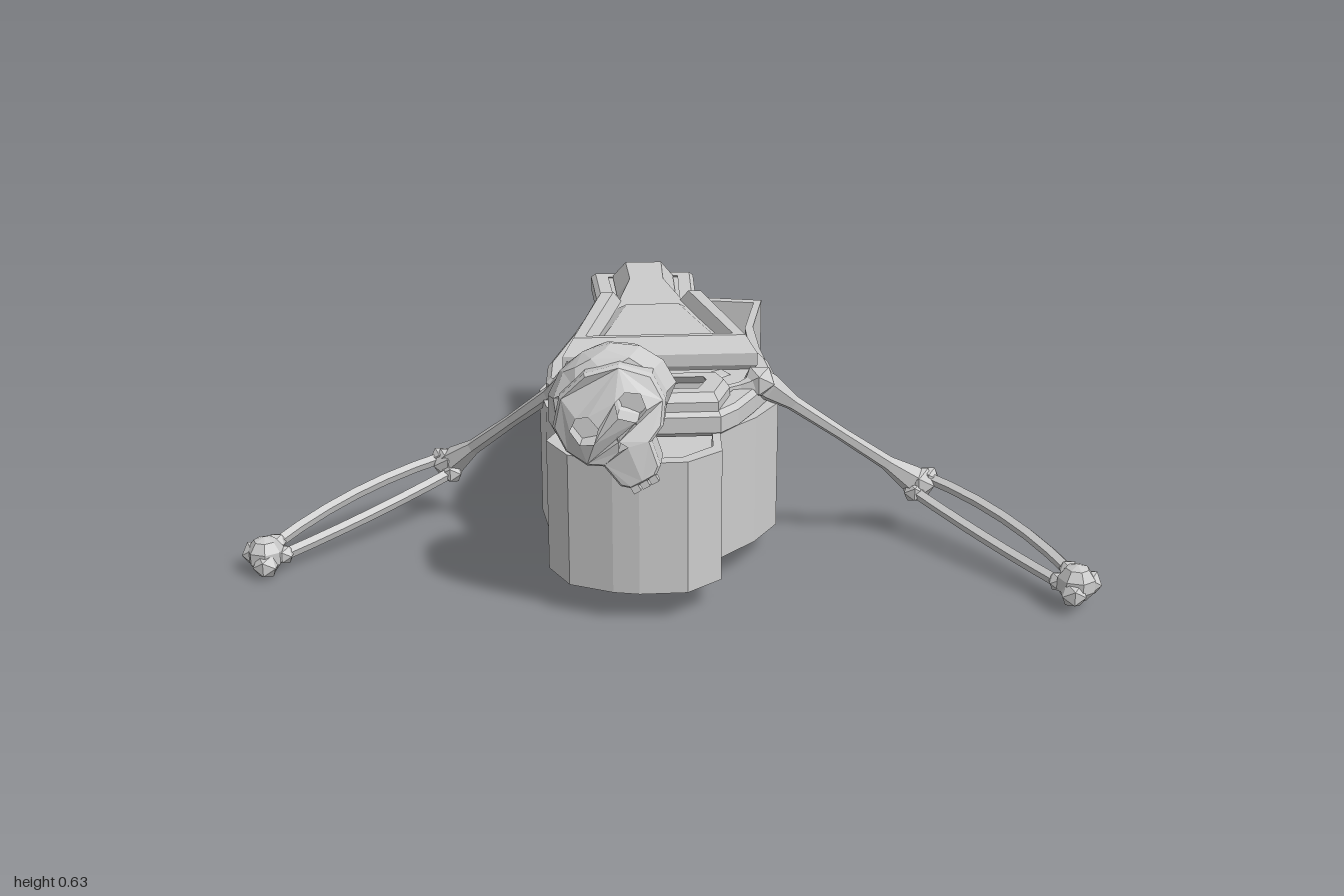
import * as THREE from 'three';

const mat = new THREE.MeshStandardMaterial({ color: 0xcccccc, flatShading: true, side: THREE.DoubleSide });
const V = (a) => new THREE.Vector3(...a);

function add(parent, name, geometry) {
  const mesh = new THREE.Mesh(geometry, mat);
  mesh.name = name;
  parent.add(mesh);
  return mesh;
}

// Mirrors a half outline of [x, z] points into a closed plan outline
const flip = (pts) => pts.map(([x, z]) => [-x, z]).reverse();
const mirrored = (half) => [...half, ...flip(half)];
const plan = (pts) => pts.map(([x, z]) => new THREE.Vector2(x, -z));

// Flat slab seen from above, from y0 to y1, with chamfered edges and optional holes
function slab(pts, y0, y1, chamfer = 0, rise = chamfer, holes = []) {
  const shape = new THREE.Shape(plan(pts));
  holes.forEach((h) => shape.holes.push(new THREE.Path(plan(h))));
  const g = new THREE.ExtrudeGeometry(shape, {
    depth: y1 - y0 - 2 * rise, bevelEnabled: chamfer > 0, bevelSegments: 1,
    bevelSize: chamfer, bevelOffset: -chamfer, bevelThickness: rise,
  });
  return g.rotateX(-Math.PI / 2).translate(0, y0 + rise, 0);
}

// Bone with swollen ends between two points
function bone(parent, name, a, b, r, swell = 1.8) {
  const dir = V(b).sub(V(a)), len = dir.length();
  const profile = [[0, -0.02], [swell * r, 0], [swell * r, 0.05], [r, 0.2], [r * 0.85, 0.5], [r, 0.8],
    [swell * r, 0.95], [swell * r, 1], [0, 1.02]].map(([x, t]) => new THREE.Vector2(x, t * len));
  const m = add(parent, name, new THREE.LatheGeometry(profile, 6));
  m.position.set(...a);
  m.quaternion.setFromUnitVectors(new THREE.Vector3(0, 1, 0), dir.normalize());
}

function knob(parent, name, p, r) {
  add(parent, name, new THREE.IcosahedronGeometry(r, 0)).position.set(...p);
}

function buildCoffin() {
  const g = new THREE.Group();
  g.name = 'coffin';
  const half = [[0.157, -0.625], [0.162, -0.38], [0.2, -0.2], [0.275, 0.07], [0.29, 0.2], [0.25, 0.31],
    [0.18, 0.42], [0.2, 0.53], [0.135, 0.61], [0.03, 0.635]];
  const inner = half.map(([x, z]) => [x * 0.88, z * 0.955]);
  add(g, 'coffinWalls', slab(mirrored(half), 0.085, 0.4, 0, 0, [mirrored(inner)]));
  add(g, 'coffinFloor', slab(mirrored(half.map(([x, z]) => [x * 0.99, z * 0.99])), 0.086, 0.13));
  g.rotation.y = -0.1;
  g.position.x = -0.008;
  return g;
}

function buildLid() {
  const g = new THREE.Group();
  g.name = 'lid';
  const half = [[0.145, -0.7], [0.135, -0.46], [0.2, -0.18], [0.27, 0.08], [0.275, 0.2],
    [0.21, 0.33], [0.165, 0.41], [0.12, 0.46]];
  const inner = half.map(([x, z]) => [x - 0.035, z * 0.95]);
  const opening = mirrored([[0.1, 0.315], [0.11, 0.35], [0.082, 0.42]]);
  add(g, 'lidRim', slab(mirrored(half), 0.39, 0.452, 0.012, 0.012, [mirrored(inner)]));
  add(g, 'lidPlate', slab(mirrored(half.map(([x, z]) => [x - 0.02, z * 0.98])), 0.42, 0.447, 0, 0, [opening]));

  // Raised legs and body
  const body = [[0.085, -0.665], [0.08, -0.47], [0.12, -0.25], [0.19, 0.06], [0.2, 0.14]];
  add(g, 'lidBody', slab(mirrored(body), 0.4, 0.5, 0.035, 0.05));
  // Arms joined across the chest, around a slightly lower torso
  const arms = [[0.07, -0.265], [0.15, -0.265], [0.235, 0.16]];
  add(g, 'lidArms', slab([...arms, ...flip(arms), [-0.15, 0.1], [0.15, 0.1]], 0.42, 0.53, 0.025, 0.04));
  add(g, 'lidChest', slab(mirrored([[0.09, -0.2], [0.14, 0], [0.17, 0.13]]), 0.45, 0.518, 0.03, 0.02));
  // Collar and broken head frame
  add(g, 'lidCollar', slab([[-0.17, 0.19], [0.17, 0.19], [0.09, 0.265], [0, 0.29], [-0.09, 0.265]], 0.42, 0.465, 0.02));
  add(g, 'headFrame', slab(mirrored([[0.13, 0.285], [0.15, 0.35], [0.115, 0.45]]), 0.42, 0.492, 0.014, 0.02, [opening]));
  g.rotation.y = 0.123;
  g.position.x = -0.044;
  return g;
}

function buildSkull() {
  const g = new THREE.Group();
  g.name = 'skull';
  // Cranium, flattened behind the face and narrowed below
  const cranium = new THREE.SphereGeometry(1, 10, 7);
  const p = cranium.attributes.position;
  for (let i = 0; i < p.count; i++) {
    let x = p.getX(i) * 0.15, y = p.getY(i) * 0.13, z = p.getZ(i) * 0.135;
    if (y < 0.1) z = Math.min(z, y > 0.05 ? 0.085 : 0.05);
    if (y < -0.04) { x *= 0.82; y *= 0.85; }
    p.setXYZ(i, x, y, z);
  }
  add(g, 'cranium', cranium);

  // Face with eye sockets and nose opening, curved back at the sides
  const outline = [[0, 0.105], [0.075, 0.085], [0.125, 0.03], [0.125, -0.03], [0.095, -0.075],
    [0.06, -0.09], [0.05, -0.145], [0.03, -0.16], [0, -0.16]];
  const vec = (pts) => pts.map(([x, y]) => new THREE.Vector2(x, y));
  const face = new THREE.Shape(vec([...outline, ...flip(outline.slice(1, -1))]));
  const eye = [[0.018, -0.01], [0.028, 0.028], [0.062, 0.037], [0.094, 0.014], [0.088, -0.03], [0.05, -0.042]];
  face.holes.push(new THREE.Path(vec(eye)), new THREE.Path(vec(flip(eye))));
  face.holes.push(new THREE.Path(vec([[0, -0.045], [0.018, -0.078], [-0.018, -0.078]])));
  const fg = new THREE.ExtrudeGeometry(face, {
    depth: 0.075, bevelEnabled: true, bevelSegments: 1, bevelSize: 0.006, bevelThickness: 0.008, bevelOffset: -0.006,
  });
  const q = fg.attributes.position;
  for (let i = 0; i < q.count; i++) {
    const x = q.getX(i), y = q.getY(i);
    q.setZ(i, q.getZ(i) + 0.062 - 3.2 * x * x - Math.max(0, y) * 0.35);
  }
  add(g, 'face', fg);
  // Upper teeth
  for (let i = -1; i <= 1; i++) {
    add(g, 'tooth', new THREE.BoxGeometry(0.018, 0.025, 0.02)).position.set(i * 0.022, -0.16, 0.13);
  }
  g.position.set(-0.105, 0.515, 0.56);
  g.rotation.set(-0.06, 0, 0.52);
  return g;
}

function buildArm(name, shoulder, elbow, wrist) {
  const g = new THREE.Group();
  g.name = name;
  bone(g, 'upperArm', shoulder, elbow, 0.019, 1.8);
  knob(g, 'shoulderJoint', shoulder, 0.042);
  knob(g, 'elbowJoint', elbow, 0.045);
  // Two bowed forearm bones
  const a = V(elbow), b = V(wrist);
  const out = b.clone().sub(a).setY(0).normalize();
  const side = new THREE.Vector3(out.z, 0, -out.x);
  if (side.x * elbow[0] < 0) side.negate();
  for (const [i, label] of [[1, 'radius'], [-1, 'ulna']]) {
    const off = side.clone().multiplyScalar(i * 0.022);
    off.y = i * 0.012;
    const mid = a.clone().lerp(b, 0.5).addScaledVector(side, i * 0.038 + 0.03);
    mid.y += i * 0.03;
    const curve = new THREE.QuadraticBezierCurve3(a.clone().add(off), mid, b.clone().addScaledVector(off, 0.7));
    add(g, label, new THREE.TubeGeometry(curve, 6, 0.015, 5));
    knob(g, label + 'End', curve.getPoint(0.02).toArray(), 0.03);
    knob(g, label + 'Wrist', curve.getPoint(0.97).toArray(), 0.025);
  }
  // Closed hand with knuckles
  const hand = b.clone().addScaledVector(out, 0.025);
  add(g, 'fist', new THREE.SphereGeometry(0.046, 7, 5)).position.copy(hand);
  for (const i of [-1, 1]) {
    const p = hand.clone().addScaledVector(side, i * 0.025).addScaledVector(out, 0.015);
    knob(g, 'knuckle', [p.x, p.y - 0.008 + 0.008 * i, p.z], 0.032);
  }
  return g;
}

export function createModel() {
  const model = new THREE.Group();
  model.name = 'skeletonCoffin';
  model.add(buildCoffin(), buildLid(), buildSkull());
  model.add(buildArm('rightArm', [-0.215, 0.475, 0.275], [-0.565, 0.155, 0.05], [-0.93, 0.06, 0.4]));
  model.add(buildArm('leftArm', [0.215, 0.46, 0.25], [0.61, 0.15, 0.1], [0.93, 0.075, 0.48]));

  // Collar bones and neck
  bone(model, 'rightCollarBone', [-0.2, 0.47, 0.28], [-0.01, 0.43, 0.33], 0.012);
  bone(model, 'leftCollarBone', [0.21, 0.46, 0.26], [0.01, 0.43, 0.33], 0.012);
  for (let i = 0; i < 5; i++) {
    const t = i / 4;
    const v = add(model, 'neckVertebra', new THREE.CylinderGeometry(0.026, 0.022, 0.04, 6));
    v.position.set(0.01 - 0.09 * t, 0.42 + 0.04 * t, 0.32 + 0.16 * t);
    v.rotation.x = 1.3;
  }
  return model;
}
